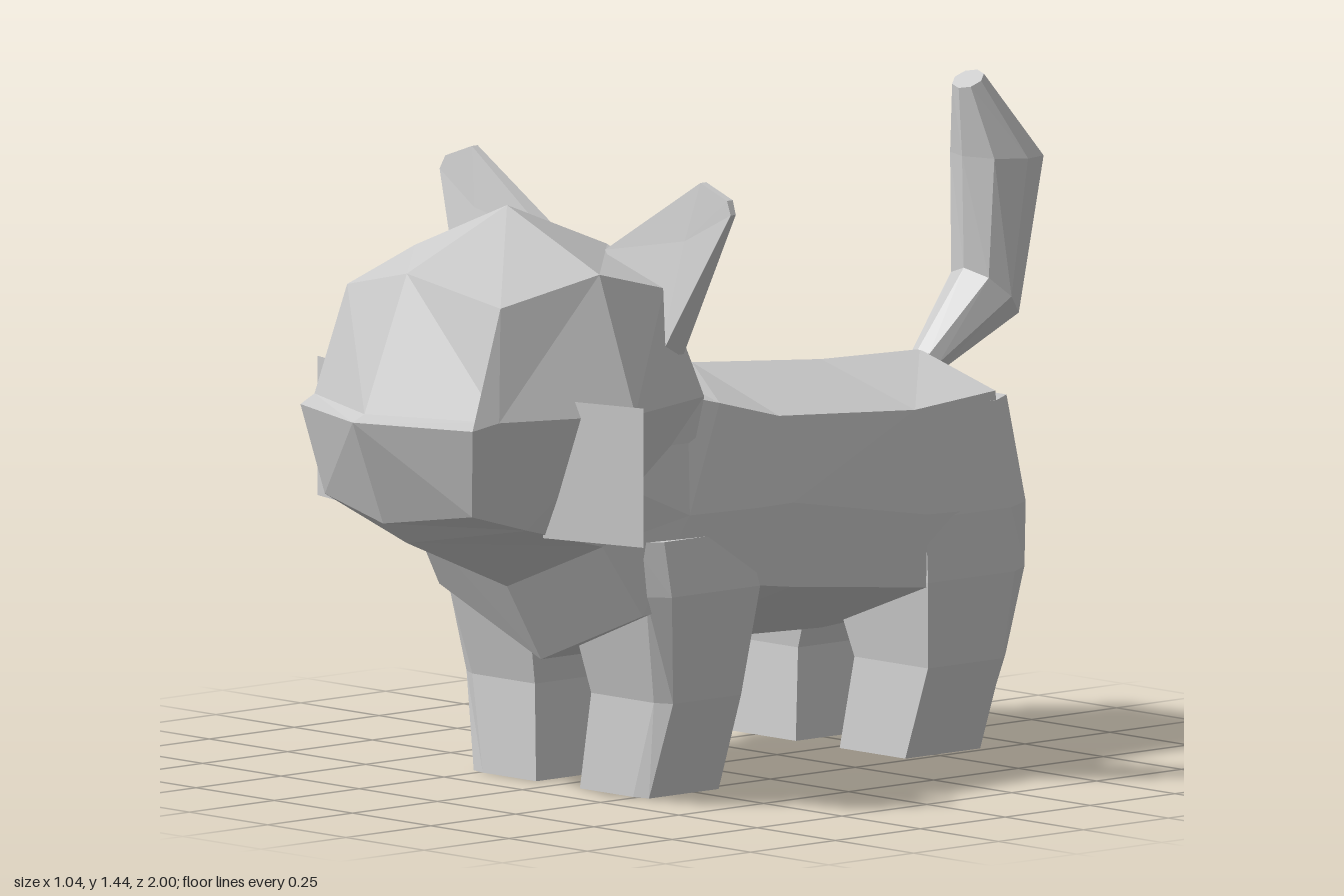
import * as THREE from 'three';

const material = new THREE.MeshStandardMaterial({ color: 0xcccccc, flatShading: true });
const sheet = new THREE.MeshStandardMaterial({ color: 0xcccccc, flatShading: true, side: THREE.DoubleSide });

// Skin closed rings of [x, y, z]; each ring runs clockwise seen from the last ring's side.
function loft(name, rings, startCentre, endCentre) {
  const pos = [];
  const tri = (a, b, c) => pos.push(...a, ...b, ...c);
  const mean = (r) => [0, 1, 2].map((k) => r.reduce((s, p) => s + p[k], 0) / r.length);
  const n = rings[0].length;
  const first = rings[0], last = rings[rings.length - 1];
  const start = startCentre || mean(first), end = endCentre || mean(last);
  for (let j = 0; j < n; j++) {
    const k = (j + 1) % n;
    for (let i = 0; i + 1 < rings.length; i++) {
      const p = rings[i], q = rings[i + 1];
      tri(p[j], q[j], q[k]);
      tri(p[j], q[k], p[k]);
    }
    tri(start, first[j], first[k]);
    tri(end, last[k], last[j]);
  }
  const geometry = new THREE.BufferGeometry();
  geometry.setAttribute('position', new THREE.Float32BufferAttribute(pos, 3));
  geometry.computeVertexNormals();
  const mesh = new THREE.Mesh(geometry, material);
  mesh.name = name;
  return mesh;
}

// Complete a half ring (top centre, down the left side, bottom centre) by mirroring.
const whole = (half) => [...half, ...half.slice(1, -1).reverse().map(([x, y, z]) => [-x, y, z])];

// Mirror a ring across x = 0, keeping its winding.
const flip = (ring) => ring.map(([x, y, z]) => [-x, y, z]).reverse();

function pair(group, name, rings) {
  group.add(loft(name + 'Left', rings));
  group.add(loft(name + 'Right', rings.map(flip)));
}

export function createModel() {
  const group = new THREE.Group();

  // Body, from rump to neck
  const body = [
    [[0, 0.8, -0.715], [0.2, 0.785, -0.67], [0.22, 0.52, -0.69], [0.2, 0.4, -0.68], [0, 0.42, -0.7]],
    [[0, 0.845, -0.67], [0.285, 0.79, -0.63], [0.325, 0.54, -0.63], [0.33, 0.4, -0.62], [0, 0.28, -0.6]],
    [[0, 0.853, -0.38], [0.3, 0.775, -0.38], [0.34, 0.55, -0.38], [0.335, 0.39, -0.38], [0, 0.265, -0.38]],
    [[0, 0.885, 0], [0.31, 0.805, 0.03], [0.355, 0.62, 0.03], [0.35, 0.435, 0.03], [0, 0.278, 0]],
    [[0, 0.9, 0.14], [0.305, 0.85, 0.2], [0.36, 0.62, 0.14], [0.36, 0.45, 0.135], [0, 0.28, 0.145]],
    [[0, 0.9, 0.3], [0.29, 0.87, 0.28], [0.34, 0.62, 0.32], [0.325, 0.41, 0.445], [0, 0.28, 0.445]],
    [[0, 0.9, 0.45], [0.28, 0.85, 0.45], [0.32, 0.7, 0.5], [0.305, 0.57, 0.545], [0, 0.45, 0.545]],
  ];
  group.add(loft('body', body.map(whole), [0, 0.47, -0.715]));

  // Head, from nape to muzzle
  const head = [
    [[0, 0.9, 0.14], [0.16, 0.89, 0.16], [0.3, 0.87, 0.25], [0.3, 0.64, 0.3], [0, 0.55, 0.3]],
    [[0, 1.17, 0.25], [0.29, 1.115, 0.35], [0.31, 0.87, 0.25], [0.31, 0.64, 0.315], [0, 0.5, 0.33]],
    [[0, 1.285, 0.545], [0.295, 1.165, 0.545], [0.41, 0.87, 0.545], [0.305, 0.57, 0.545], [0, 0.45, 0.545]],
    [[0, 1.165, 0.84], [0.245, 1.11, 0.79], [0.295, 0.87, 0.84], [0.265, 0.62, 0.73], [0, 0.575, 0.84]],
    [[0, 0.87, 0.965], [0.295, 0.87, 0.84], [0.275, 0.855, 0.9], [0.235, 0.66, 0.865], [0, 0.625, 0.91]],
  ];
  group.add(loft('head', head.map(whole), [0, 0.75, 0.25], [0, 0.855, 1]));

  // Legs: [y, back z, front z, inner x, outer x, back chamfer, front chamfer]
  const legRing = ([y, back, front, inner, outer, cb, cf]) => [
    [inner, y, back], [outer - 0.045, y, back], [outer, y, back + cb],
    [outer, y, front - cf], [outer - 0.04, y, front], [inner, y, front],
  ];
  const frontLeg = [
    [0, 0.18, 0.395, 0.07, 0.28, 0, 0.01],
    [0.21, 0.16, 0.38, 0.09, 0.33, 0, 0.02],
    [0.45, 0.135, 0.435, 0.06, 0.364, 0, 0.04],
    [0.57, 0.14, 0.46, 0.05, 0.345, 0.02, 0.06],
  ];
  const backLeg = [
    [0.01, -0.625, -0.37, 0.07, 0.28, 0.035, 0],
    [0.21, -0.665, -0.395, 0.09, 0.325, 0.05, 0],
    [0.4, -0.705, -0.38, 0.02, 0.342, 0.07, 0],
    [0.54, -0.715, -0.38, 0.01, 0.335, 0.085, 0],
    [0.77, -0.7, -0.42, 0.01, 0.29, 0.07, 0.02],
  ];
  pair(group, 'frontLeg', frontLeg.map(legRing));
  pair(group, 'backLeg', backLeg.map(legRing));

  // Ears: thin wedges, thicker at the base
  const earOutline = [[0.085, 1.175], [0.365, 1.35], [0.45, 1.32], [0.465, 1.29], [0.315, 0.97]];
  const earBack = [0.29, 0.295, 0.295, 0.3, 0.315];
  const earFront = [0.335, 0.312, 0.312, 0.315, 0.385];
  pair(group, 'ear', [earBack, earFront].map((zs) => earOutline.map(([x, y], i) => [x, y, zs[i]])));

  // Tail: [front y, front z, back y, back z, half width]
  const tail = [
    [0.845, -0.665, 0.79, -0.715, 0.04],
    [1.01, -0.8, 0.89, -0.925, 0.085],
    [1.255, -0.795, 1.245, -1, 0.1],
    [1.405, -0.785, 1.44, -0.84, 0.042],
  ];
  group.add(loft('tail', tail.map(([fy, fz, by, bz, w]) =>
    Array.from({ length: 8 }, (_, i) => {
      const a = (i * Math.PI) / 4, s = (1 + Math.sin(a)) / 2;
      return [w * Math.cos(a), by + (fy - by) * s, bz + (fz - bz) * s];
    }))));

  // Whiskers: flat upright sheets swept slightly back
  for (const side of [1, -1]) {
    const whisker = new THREE.Mesh(new THREE.PlaneGeometry(0.26, 0.305), sheet);
    whisker.name = side > 0 ? 'whiskersLeft' : 'whiskersRight';
    whisker.position.set(side * 0.395, 0.7525, 0.655);
    whisker.rotation.y = side * 0.25;
    group.add(whisker);
  }

  return group;
}
